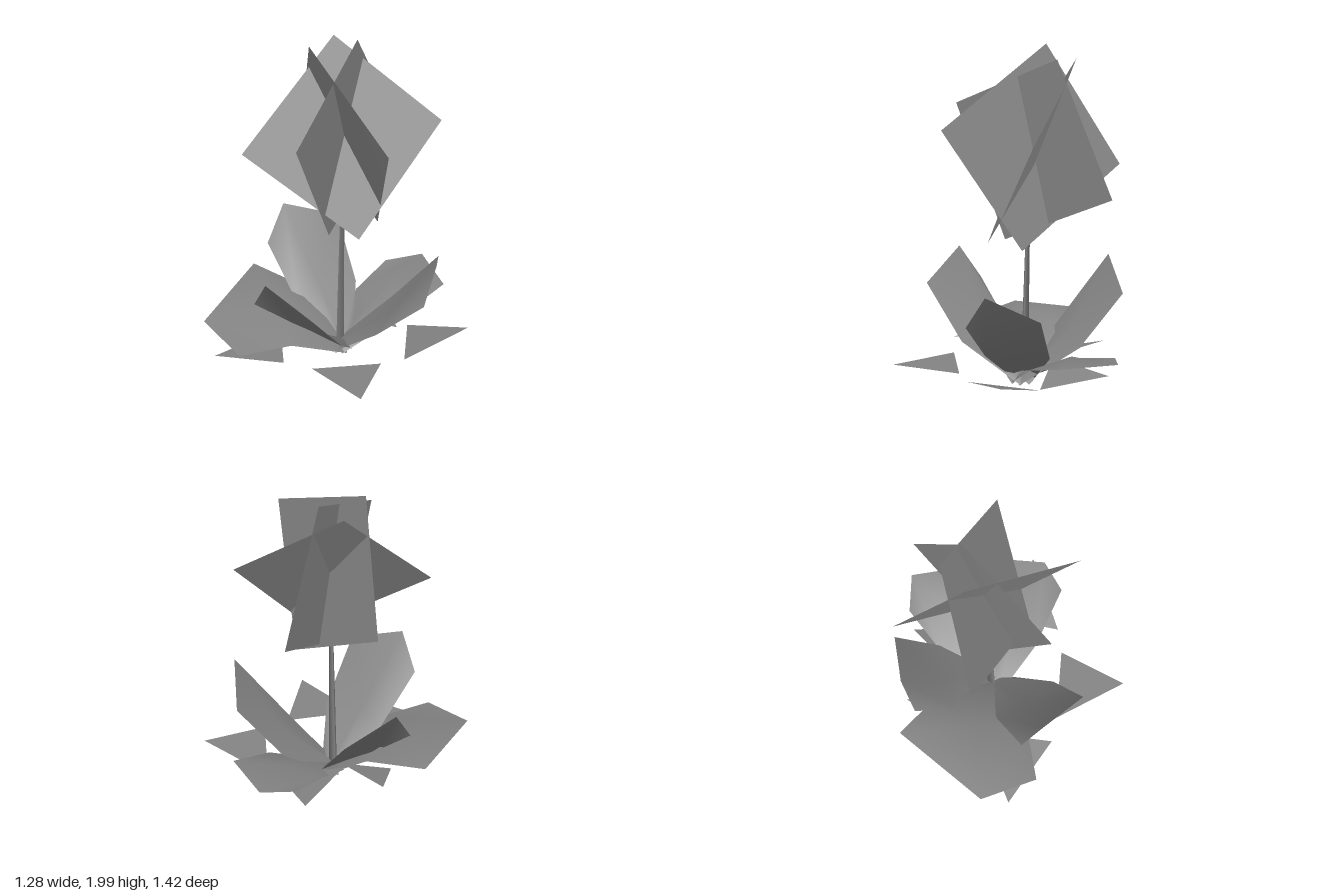
import * as THREE from 'three';

const material = new THREE.MeshStandardMaterial({ color: 0x848484, side: THREE.DoubleSide });
const ROOT = new THREE.Vector3(0.03, 0, 0.03); // where all leaves spring from

// Thin surface from a few points and triangle indices
function surface(name, points, index) {
  const geo = new THREE.BufferGeometry();
  geo.setAttribute('position', new THREE.Float32BufferAttribute(points.flat(), 3));
  geo.setIndex(index);
  geo.computeVertexNormals();
  const mesh = new THREE.Mesh(geo, material);
  mesh.name = name;
  return mesh;
}

// Leaf as a 3 x 3 sheet: narrow base row just past the root, middle row, outer row
function leaf(name, middle, outer) {
  const first = new THREE.Vector3(...outer[0]);
  const side = new THREE.Vector3(...outer[2]).sub(first).setY(0).setLength(0.05);
  const back = new THREE.Vector3(...middle[1]).setY(0).setLength(-0.04);
  const base = [-1, 0, 1].map((s) => [back.x + s * side.x, s ? 0.01 : 0.05, back.z + s * side.z]);
  const index = [];
  for (let r = 0; r < 2; r++) {
    for (let c = 0; c < 2; c++) {
      const i = r * 3 + c;
      index.push(i, i + 1, i + 4, i, i + 4, i + 3);
    }
  }
  const mesh = surface(name, [...base, ...middle, ...outer], index);
  mesh.position.copy(ROOT);
  return mesh;
}

// Optionally mirror a row of points, then turn it about the vertical axis
function place(row, degrees, mirror) {
  const up = new THREE.Vector3(0, 1, 0);
  return row.map(([x, y, z]) => new THREE.Vector3(x * mirror, y, z)
    .applyAxisAngle(up, THREE.MathUtils.degToRad(degrees)).toArray());
}

export function createModel() {
  const model = new THREE.Group();

  // Flower head: three crossed, tilted square petals
  const petals = [
    [[-0.19, 2, 0.07], [0.545, 1.61, 0.15], [0.17, 0.87, -0.13], [-0.515, 1.27, -0.2]],
    [[-0.05, 1.995, -0.185], [0.13, 1.61, 0.49], [0.055, 0.85, 0.15], [-0.13, 1.22, -0.575]],
    [[-0.22, 1.96, -0.16], [0.365, 1.51, -0.455], [0.24, 0.88, 0.09], [-0.38, 1.33, 0.425]],
  ];
  const flower = new THREE.Group();
  flower.name = 'flower';
  for (const corners of petals) flower.add(surface('petal', corners, [0, 2, 1, 0, 3, 2]));
  model.add(flower);

  // Stem: slim three-sided taper, leaning slightly
  const from = new THREE.Vector3(0.02, 0.03, 0.03);
  const to = new THREE.Vector3(0.01, 1.2, -0.005);
  const axis = to.clone().sub(from);
  const stem = new THREE.Mesh(new THREE.CylinderGeometry(0.011, 0.027, axis.length(), 3, 1, true), material);
  stem.name = 'stem';
  stem.position.copy(from).add(to).multiplyScalar(0.5);
  stem.quaternion.setFromUnitVectors(new THREE.Vector3(0, 1, 0), axis.normalize());
  model.add(stem);

  // Upright leaves: one shape turned and mirrored
  const middle = [[-0.14, 0.23, 0.25], [0.03, 0.29, 0.3], [0.25, 0.25, 0.24]];
  const outer = [[-0.16, 0.485, 0.54], [-0.03, 0.69, 0.58], [0.285, 0.55, 0.505]];
  for (const [name, turn, mirror] of [
    ['frontLeaf', 0, 1], ['leftLeaf', 120, 1], ['rightLeaf', -103, -1],
  ]) {
    model.add(leaf(name, place(middle, turn, mirror), place(outer, turn, mirror)));
  }

  // Low drooping leaves, arched along the rib
  model.add(leaf('backLeaf',
    [[-0.18, 0.19, -0.3], [-0.01, 0.265, -0.42], [0.21, 0.2, -0.31]],
    [[-0.21, 0.25, -0.57], [-0.085, 0.275, -0.74], [0.235, 0.28, -0.6]]));
  model.add(leaf('largeLeaf',
    [[-0.02, 0.19, 0.38], [-0.3, 0.32, 0.23], [-0.31, 0.24, -0.06]],
    [[-0.145, 0.195, 0.675], [-0.49, 0.25, 0.62], [-0.67, 0.295, 0.04]]));

  // Loose triangular leaflets near the ground
  const leaflets = [
    [[0.44, 0.13, 0.11], [0.635, 0.14, 0.465], [0.2, 0.13, 0.43]],
    [[0.6, 0.2, -0.435], [0.5, 0.125, -0.02], [0.21, 0.085, -0.33]],
    [[-0.31, 0.11, 0.71], [0.09, 0.175, 0.55], [-0.22, 0.14, 0.27]],
    [[-0.195, 0.12, -0.47], [-0.13, 0.145, -0.06], [0.17, 0.07, -0.285]],
    [[-0.475, 0.19, -0.11], [-0.32, 0.12, 0.14], [-0.1, 0.15, -0.04]],
  ];
  for (const corners of leaflets) model.add(surface('leaflet', corners, [0, 1, 2]));

  return model;
}
